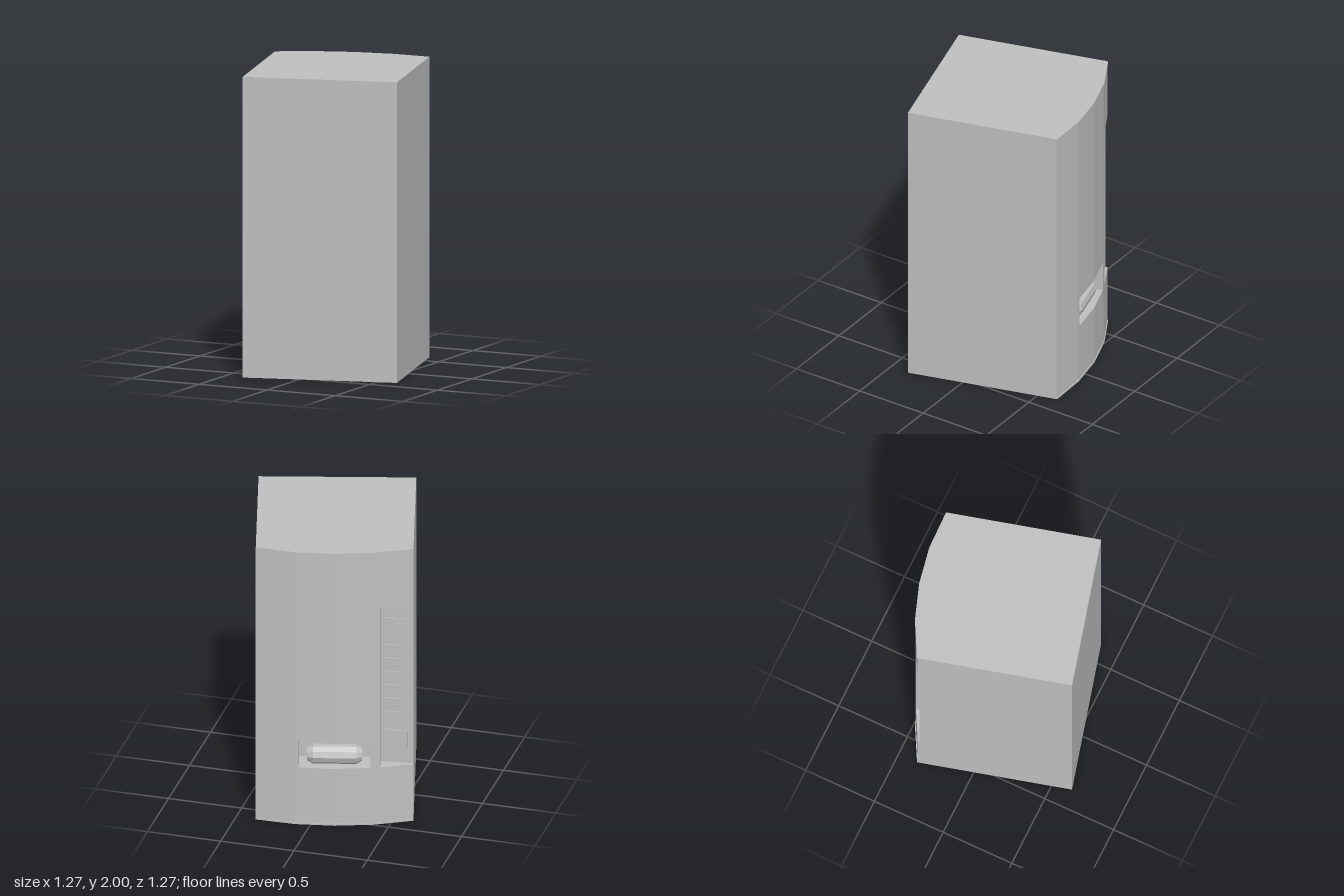
import * as THREE from 'three';

const H = 0.5175;          // half width of the cabinet
const PANEL_X = 0.30;      // inner edge of the control recess
const PANEL_Z = 0.475;
const SLOT_X = 0.235;      // half width of the delivery opening
const SLOT_Z = 0.41;
const Y = { low: 0.415, slotTop: 0.625, panelTop: 1.58 };

// Bowed front in four flat facets
const ARC = [[H, H], [0.26, 0.58], [0, 0.6], [-0.26, 0.58], [-H, H]];

function frontZ(x) {
  const a = Math.abs(x);
  return a > 0.26 ? 0.58 + (H - 0.58) * (a - 0.26) / (H - 0.26) : 0.6 - 0.02 * a / 0.26;
}

export function createModel() {
  const machine = new THREE.Group();
  machine.name = 'vendingMachine';
  const grey = new THREE.MeshStandardMaterial({ color: 0xc0c0c0 });
  grey.name = 'silver grey';

  function add(parent, name, geometry, x = 0, y = 0, z = 0) {
    const mesh = new THREE.Mesh(geometry, grey);
    mesh.name = name;
    mesh.position.set(x, y, z);
    parent.add(mesh);
    return mesh;
  }

  // One horizontal slice of the cabinet, with optional notches in its front
  function slice(name, y0, y1, { panel = false, slot = false, inset = 0.005 } = {}) {
    const pts = [[-H, -H], [H, -H]];
    if (panel) pts.push([H, 0.5], [PANEL_X, PANEL_Z], [PANEL_X, frontZ(PANEL_X) - inset]);
    else pts.push([H, H - inset]);
    pts.push([0.26, 0.58 - inset]);
    if (slot) {
      pts.push([SLOT_X, frontZ(SLOT_X) - inset], [SLOT_X, SLOT_Z],
        [-SLOT_X, SLOT_Z], [-SLOT_X, frontZ(SLOT_X) - inset]);
    } else pts.push([0, 0.6 - inset]);
    pts.push([-0.26, 0.58 - inset], [-H, H - inset]);
    const shape = new THREE.Shape(pts.map(([x, z]) => new THREE.Vector2(x, -z)));
    const geo = new THREE.ExtrudeGeometry(shape, { depth: y1 - y0, bevelEnabled: false });
    geo.rotateX(-Math.PI / 2);
    add(machine, name, geo, 0, y0, 0);
  }

  slice('bottomRim', 0, 0.012, { inset: 0 });
  slice('lowerCabinet', 0.012, Y.low);
  slice('deliveryCabinet', Y.low, Y.slotTop, { panel: true, slot: true });
  slice('middleCabinet', Y.slotTop, Y.panelTop, { panel: true });
  slice('upperCabinet', Y.panelTop, 1.988);
  slice('topRim', 1.988, 2, { inset: 0 });

  // Control panel details, laid out on the slightly slanted recess
  const controls = new THREE.Group();
  controls.name = 'controlPanel';
  controls.position.set(PANEL_X, 0, PANEL_Z);
  controls.rotation.y = -Math.atan2(0.5 - PANEL_Z, H - PANEL_X);
  machine.add(controls);

  function plate(name, x0, x1, y0, y1, z = 0, t = 0.008) {
    add(controls, name, new THREE.BoxGeometry(x1 - x0, y1 - y0, t),
      (x0 + x1) / 2, (y0 + y1) / 2, z + t / 2);
  }

  plate('paymentPlate', 0.02, 0.19, 1.36, 1.476);
  plate('billSlot', 0.095, 0.175, 1.413, 1.443, 0.008);
  plate('coinSlot', 0.04, 0.055, 1.385, 1.43, 0.008);
  for (let i = 0; i < 6; i++) {
    const y = 1.245 - i * 0.098;
    plate('selectionButton', 0.02, 0.13, y - 0.034, y + 0.034);
    const lamp = new THREE.CylinderGeometry(0.017, 0.017, 0.008, 10).rotateX(Math.PI / 2);
    add(controls, 'indicator', lamp, 0.175, y + 0.012, 0.004);
  }
  plate('changePlate', 0.02, 0.19, 0.525, 0.658);
  plate('returnLever', 0.028, 0.075, 0.6, 0.648, 0.008);
  plate('changeDoor', 0.085, 0.182, 0.533, 0.65, 0.008, 0.005);

  // Can lying in the delivery opening
  const profile = [[0, -0.18], [0.045, -0.18], [0.066, -0.14], [0.066, 0.14], [0.045, 0.18], [0, 0.18]];
  let can = new THREE.LatheGeometry(profile.map(([r, y]) => new THREE.Vector2(r, y)), 10);
  can.rotateZ(Math.PI / 2);
  can = can.toNonIndexed();
  can.computeVertexNormals();
  add(machine, 'can', can, 0, Y.low + 0.064, 0.5);

  // The cabinet stands turned, its bowed face toward the back
  machine.rotation.y = THREE.MathUtils.degToRad(195);
  const root = new THREE.Group();
  root.name = 'model';
  root.add(machine);
  return root;
}
